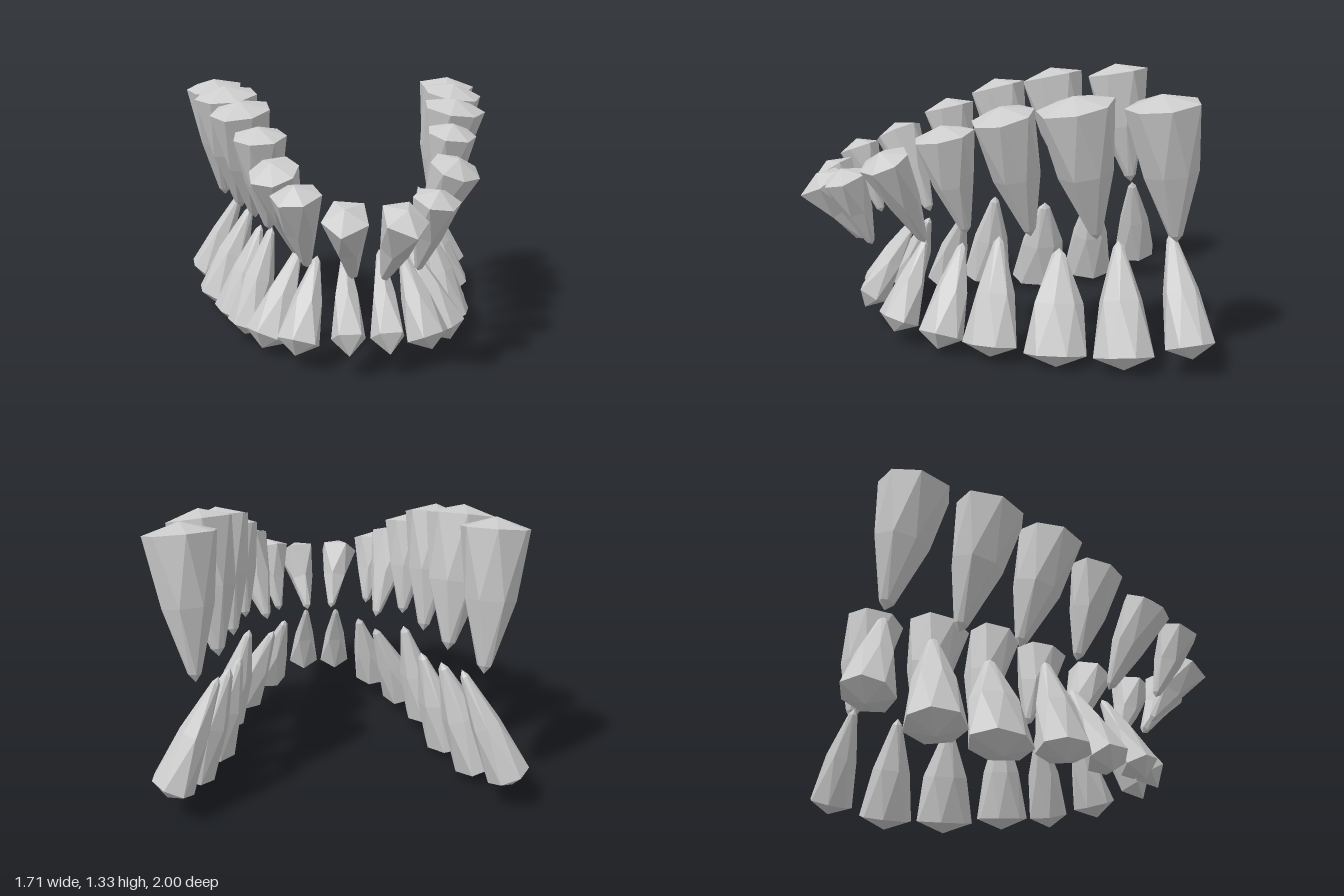
import * as THREE from 'three';

const material = new THREE.MeshStandardMaterial({ color: 0xcccccc, flatShading: true });

// Per tooth, front to back, for the model's left side:
// crown ring centre, tip, radius along the arch, radius across it, outward angle (degrees), belly at mid-length,
// crown height, number of sides, and an optional shift of the opposite tooth after mirroring
const upper = [
  { base: [0.12, 0.825, 0.89], tip: [0.06, 0.5, 0.7], r: [0.115, 0.125], turn: 12, belly: 0.6, cap: 0.05, sides: 5, shift: [-0.02, 0.01, -0.01] },
  { base: [0.295, 0.88, 0.75], tip: [0.235, 0.52, 0.63], r: [0.115, 0.115], turn: 35, belly: 0.64, cap: 0.05, sides: 6, shift: [-0.05, 0.035, 0] },
  { base: [0.43, 0.99, 0.54], tip: [0.31, 0.55, 0.36], r: [0.135, 0.12], turn: 60, belly: 0.68, cap: 0.05, sides: 7 },
  { base: [0.48, 1.12, 0.255], tip: [0.43, 0.63, 0.15], r: [0.145, 0.13], turn: 72, belly: 0.7, cap: 0.05, sides: 7 },
  { base: [0.56, 1.22, -0.02], tip: [0.49, 0.63, -0.16], r: [0.16, 0.16], turn: 78, belly: 0.73, cap: 0.05, sides: 7 },
  { base: [0.63, 1.275, -0.345], tip: [0.555, 0.63, -0.47], r: [0.18, 0.17], turn: 80, belly: 0.75, cap: 0.05, sides: 7 },
  { base: [0.69, 1.29, -0.73], tip: [0.645, 0.64, -0.83], r: [0.175, 0.165], turn: 85, belly: 0.73, cap: 0.05, sides: 7 },
];
const lower = [
  { base: [0.095, 0.21, 0.65], tip: [0.085, 0.58, 0.43], r: [0.09, 0.085], turn: 8, belly: 0.64, cap: 0.09, sides: 5 },
  { base: [0.32, 0.15, 0.5], tip: [0.21, 0.54, 0.36], r: [0.115, 0.1], turn: 40, belly: 0.68, cap: 0.07, sides: 6 },
  { base: [0.46, 0.115, 0.28], tip: [0.28, 0.54, 0.17], r: [0.12, 0.105], turn: 62, belly: 0.7, cap: 0.07, sides: 6 },
  { base: [0.55, 0.1, 0.035], tip: [0.41, 0.61, -0.01], r: [0.138, 0.11], turn: 75, belly: 0.72, cap: 0.06, sides: 7 },
  { base: [0.61, 0.07, -0.28], tip: [0.455, 0.56, -0.3], r: [0.163, 0.115], turn: 82, belly: 0.75, cap: 0.06, sides: 7 },
  { base: [0.7, 0.09, -0.59], tip: [0.5, 0.61, -0.58], r: [0.145, 0.12], turn: 85, belly: 0.74, cap: 0.06, sides: 7 },
  { base: [0.765, 0.17, -0.89], tip: [0.545, 0.66, -0.82], r: [0.12, 0.105], turn: 88, belly: 0.7, cap: 0.06, sides: 7 },
];

// Faceted tooth: a tapering lathe with a low crown and staggered, slightly irregular rings
function makeTooth({ base, tip, r, turn, belly, cap, sides, shift = [0, 0, 0] }, side, phase) {
  const place = ([x, y, z]) => {
    const p = new THREE.Vector3(x * side, y, z);
    return side < 0 ? p.add(new THREE.Vector3(...shift)) : p;
  };
  const from = place(tip), to = place(base);
  const length = from.distanceTo(to);
  const profile = [[0, 0], [0.2, 0.06], [belly, 0.52], [1, 1], [0, 1 + cap / length]];
  const geometry = new THREE.LatheGeometry(
    profile.map(([radius, t]) => new THREE.Vector2(radius, t * length)), sides, phase);

  // Turn each ring half a facet past the one below and make it a little uneven
  const pos = geometry.attributes.position;
  for (let i = 0; i < pos.count; i++) {
    const radius = Math.hypot(pos.getX(i), pos.getZ(i)), y = pos.getY(i);
    const ring = i % profile.length;
    const angle = Math.atan2(pos.getX(i), pos.getZ(i)) + (ring - 3) * Math.PI / sides;
    const k = radius * (1 + 0.05 * Math.sin(2 * angle + phase * 3 + y * 4));
    pos.setXYZ(i, Math.sin(angle) * r[0] * k, y, Math.cos(angle) * r[1] * k);
  }

  // Stand the lathe along the line from tip to crown
  const a = THREE.MathUtils.degToRad(turn) * side;
  const up = to.clone().sub(from).normalize();
  const along = new THREE.Vector3(Math.cos(a), 0, -Math.sin(a));
  along.addScaledVector(up, -along.dot(up)).normalize();
  const across = along.clone().cross(up);
  geometry.applyMatrix4(new THREE.Matrix4().makeBasis(along, up, across).setPosition(from));
  geometry.computeVertexNormals();
  return new THREE.Mesh(geometry, material);
}

function makeRow(name, teeth) {
  const row = new THREE.Group();
  row.name = name;
  for (const side of [1, -1]) {
    teeth.forEach((tooth, i) => {
      const mesh = makeTooth(tooth, side, i * 0.9 + side * 0.1);
      mesh.name = `${name}${side > 0 ? 'Left' : 'Right'}Tooth${i + 1}`;
      row.add(mesh);
    });
  }
  return row;
}

export function createModel() {
  const model = new THREE.Group();
  model.name = 'teeth';
  model.add(makeRow('upper', upper), makeRow('lower', lower));
  return model;
}
